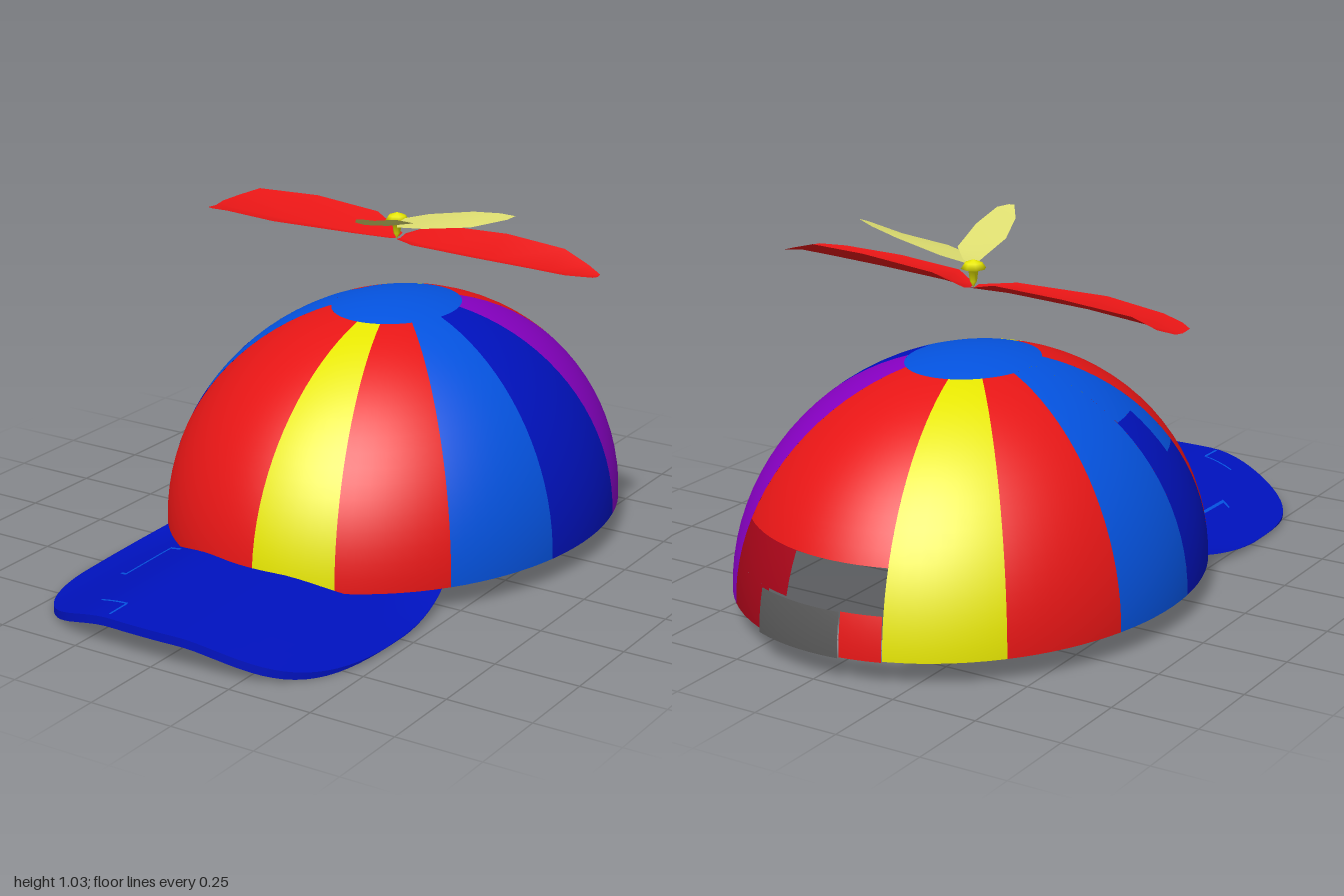
import * as THREE from 'three';
import { toCreasedNormals } from 'three/addons/utils/BufferGeometryUtils.js';

const paint = (name, color) => {
  const m = new THREE.MeshStandardMaterial({ color, side: THREE.DoubleSide });
  m.name = name;
  return m;
};

// Surface through rows of [x, y, z] points, all rows equally long
function loft(rows) {
  const n = rows[0].length, index = [];
  for (let i = 0; i < rows.length - 1; i++) {
    for (let j = 0; j < n - 1; j++) {
      const a = i * n + j, b = a + n;
      index.push(a, a + 1, b, b, a + 1, b + 1);
    }
  }
  const g = new THREE.BufferGeometry();
  g.setAttribute('position', new THREE.Float32BufferAttribute(rows.flat(2), 3));
  g.setIndex(index);
  g.computeVertexNormals();
  return g;
}

// Point on the arched visor: u runs from side to side (-1..1), v from rear to front (0..1)
function visorPoint(u, v, drop) {
  const a = Math.min(1, Math.abs(u));
  const front = 0.5 + 0.49 * Math.pow(1 - Math.pow(a, 2.7), 1 / 2.7);
  const rear = 0.17 + 0.21 * (1 - a * a);
  const z = rear + (front - rear) * v;
  const back = Math.max(0, (0.5 - z) / 0.33) ** 2;
  const y = 0.12 - 0.015 * v - 0.089 * THREE.MathUtils.smoothstep(a, 0.2, 1) + 0.035 * back * a * a;
  return [-0.03 + 0.5 * u * (1 - 0.12 * back), y - drop, z];
}

export function createModel() {
  const red = paint('red', 0xe91616), yellow = paint('yellow', 0xe6e600);
  const sky = paint('bright blue', 0x0453e0), navy = paint('deep blue', 0x0012bf);
  const purple = paint('purple', 0x8800c4), maroon = paint('dark red', 0xa60518);
  const grey = paint('grey', 0x585858), pale = paint('pale yellow', 0xdede70);

  const model = new THREE.Group();
  const add = (name, geometry, material, parent = model) => {
    const m = new THREE.Mesh(geometry, material);
    m.name = name;
    parent.add(m);
    return m;
  };

  // Crown: patches of an ellipsoid, angles in degrees from the front towards +x,
  // and from the top down to the rim
  const crown = new THREE.Group();
  crown.name = 'crown';
  crown.scale.set(0.635, 0.634, 0.755);
  crown.position.set(-0.003, 0.076, -0.225);
  model.add(crown);
  const rad = THREE.MathUtils.degToRad;
  const patch = (name, material, a0, a1, p0 = 16.5, p1 = 90, r = 1) =>
    add(name, new THREE.SphereGeometry(r, Math.ceil((a1 - a0) / 4), Math.ceil((p1 - p0) / 4),
      rad(a0 + 90), rad(a1 - a0), rad(p0), rad(p1 - p0)), material, crown);

  patch('topDisc', sky, 0, 360, 0, 16.5);
  patch('frontYellowPanel', yellow, 0, 21.8);
  patch('frontLeftRedPanel', red, 21.8, 49.3);
  patch('leftBrightBluePanel', sky, 49.3, 77.4);
  patch('leftDeepBluePanel', navy, 77.4, 108);
  patch('leftPurplePanel', purple, 108, 142);
  patch('backRedPanel', red, 142, 196.5, 16.5, 68);
  patch('backDarkRedPatch', maroon, 142, 169, 68, 79);
  patch('backDarkRedRim', maroon, 142, 162, 79, 90);
  patch('backYellowPanel', yellow, 196.5, 224.5);
  patch('backRightRedPanel', red, 224.5, 252.6);
  patch('rightBrightBluePanel', sky, 252.6, 278);
  patch('rightUpperBluePanel', sky, 278, 303, 16.5, 42);
  patch('rightDeepBluePatch', navy, 278, 292, 42, 56);
  patch('rightBrightBluePatch', sky, 292, 303, 42, 56);
  patch('rightDeepBluePanel', navy, 278, 303, 56, 90);
  patch('frontRightRedPanel', red, 303, 360);

  // Adjusting strap below the back opening
  patch('greyStrap', grey, 161, 186, 79, 90, 1.02);
  patch('redStrap', red, 186, 196.5, 79, 90, 1.01);

  // Visor: closed cross-sections from one side to the other
  const visorRows = [];
  for (let i = 0; i <= 48; i++) {
    const u = Math.sin((i / 48 - 0.5) * Math.PI);
    const thick = 0.025 * (1 - Math.pow(u, 8));
    const row = [];
    for (let j = 0; j <= 12; j++) row.push(visorPoint(u, j / 12, 0));
    for (let j = 12; j >= 0; j--) row.push(visorPoint(u, j / 12, thick));
    row.push(visorPoint(u, 0, 0));
    visorRows.push(row);
  }
  add('visor', toCreasedNormals(loft(visorRows), 0.8), navy);

  // Thin bright marks lying on the visor: [u0, u1, v0, v1]
  const marks = [
    [-0.64, -0.62, 0.22, 0.56], [-0.62, -0.52, 0.22, 0.235], [-0.69, -0.62, 0.55, 0.565],
    [-0.46, -0.25, 0.84, 0.852], [-0.26, -0.245, 0.85, 0.97], [-0.1, -0.06, 0.2, 0.225],
  ];
  for (const [u0, u1, v0, v1] of marks) {
    const rows = [];
    for (let i = 0; i <= 4; i++) {
      const row = [];
      for (let j = 0; j <= 4; j++) row.push(visorPoint(u0 + (u1 - u0) * i / 4, v0 + (v1 - v0) * j / 4, -0.003));
      rows.push(row);
    }
    add('visorMark', loft(rows), sky);
  }

  // Propeller: each blade is lofted over [rear edge, trough, front edge]
  const propeller = new THREE.Group();
  propeller.name = 'propeller';
  model.add(propeller);
  add('rightRedBlade', loft([
    [[0, 0.89, -0.25], [0, 0.883, -0.22], [0, 0.888, -0.19]],
    [[-0.12, 0.925, -0.305], [-0.11, 0.882, -0.21], [-0.1, 0.897, -0.15]],
    [[-0.36, 0.93, -0.35], [-0.37, 0.878, -0.23], [-0.38, 0.895, -0.14]],
    [[-0.58, 0.918, -0.365], [-0.58, 0.873, -0.27], [-0.58, 0.887, -0.19]],
    [[-0.65, 0.89, -0.355], [-0.65, 0.871, -0.28], [-0.65, 0.878, -0.215]],
    [[-0.685, 0.875, -0.32], [-0.685, 0.869, -0.28], [-0.685, 0.872, -0.24]],
  ]), red, propeller);
  add('leftRedBlade', loft([
    [[0.01, 0.89, -0.25], [0.01, 0.883, -0.22], [0.015, 0.888, -0.19]],
    [[0.1, 0.925, -0.27], [0.11, 0.885, -0.19], [0.11, 0.9, -0.12]],
    [[0.35, 0.94, -0.245], [0.34, 0.888, -0.16], [0.33, 0.906, -0.085]],
    [[0.55, 0.935, -0.21], [0.54, 0.89, -0.14], [0.53, 0.906, -0.075]],
    [[0.64, 0.908, -0.185], [0.63, 0.892, -0.13], [0.62, 0.902, -0.08]],
    [[0.685, 0.893, -0.165], [0.685, 0.89, -0.15], [0.68, 0.892, -0.13]],
  ]), red, propeller);
  add('sidePaleBlade', loft([
    [[0.02, 0.945, -0.205], [0.02, 0.94, -0.185]],
    [[0.1, 0.965, -0.23], [0.06, 0.945, -0.12]],
    [[0.25, 0.995, -0.225], [0.16, 0.96, -0.1]],
    [[0.35, 1.01, -0.2], [0.3, 0.98, -0.12]],
    [[0.415, 1.018, -0.17], [0.4, 1.01, -0.15]],
  ]), pale, propeller);
  add('frontPaleBlade', loft([
    [[0.01, 0.94, -0.2], [0.04, 0.945, -0.2]],
    [[0.03, 0.945, -0.12], [0.115, 0.965, -0.12]],
    [[0.03, 0.975, 0], [0.13, 1.005, 0]],
    [[0.06, 1.01, 0.1], [0.135, 1.03, 0.12]],
    [[0.095, 1.035, 0.15], [0.11, 1.036, 0.145]],
  ]), pale, propeller);

  // Hub: slim pin with a rounded cap
  const hubProfile = [[0, 0.883], [0.01, 0.9], [0.014, 0.93], [0.036, 0.937], [0.025, 0.953], [0, 0.962]];
  const hub = add('hub', new THREE.LatheGeometry(hubProfile.map(p => new THREE.Vector2(...p)), 8), yellow, propeller);
  hub.position.set(0.005, 0, -0.21);

  return model;
}
